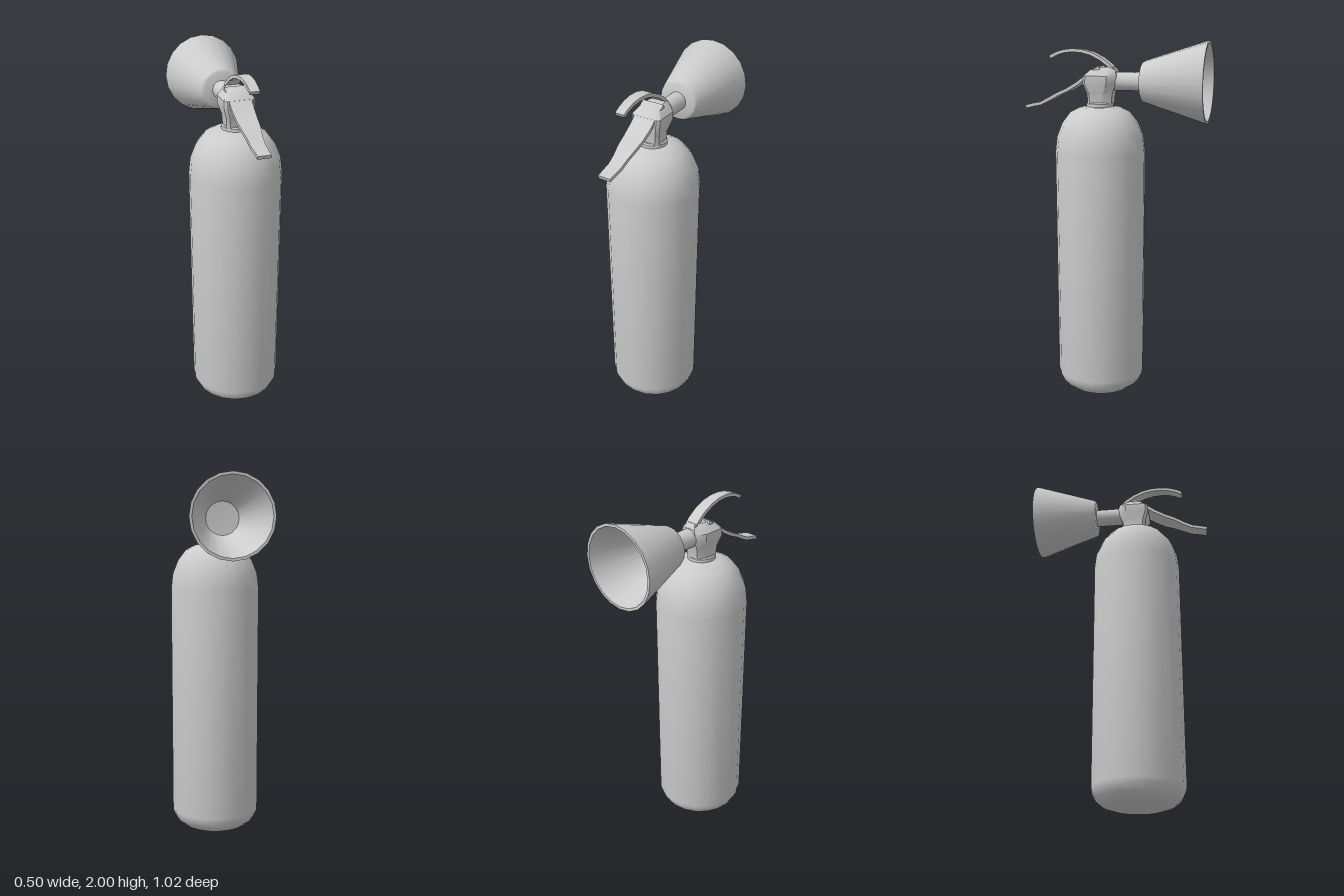
import * as THREE from 'three';
import { toCreasedNormals } from 'three/addons/utils/BufferGeometryUtils.js';

const AXIS_Z = 0.085; // tank axis
const PIPE_Y = 1.785; // discharge axis

// Capped skin over rings of [x, y, z], each counter-clockwise about the travel direction
function loft(rings) {
  const n = rings[0].length, last = (rings.length - 1) * n, index = [];
  for (let i = 0; i < rings.length - 1; i++) {
    for (let j = 0; j < n; j++) {
      const a = i * n + j, b = i * n + (j + 1) % n;
      index.push(a, b, b + n, a, b + n, a + n);
    }
  }
  for (let j = 1; j < n - 1; j++) {
    index.push(0, j + 1, j, last, last + j, last + j + 1);
  }
  const geo = new THREE.BufferGeometry();
  geo.setAttribute('position', new THREE.Float32BufferAttribute(rings.flat(2), 3));
  geo.setIndex(index);
  return geo;
}

// Bent metal strip; stations are [z, y, half width]
function strip(stations, thickness) {
  const h = thickness / 2;
  return loft(stations.map(([z, y, w], i) => {
    const p = stations[Math.max(i - 1, 0)], q = stations[Math.min(i + 1, stations.length - 1)];
    const len = Math.hypot(q[0] - p[0], q[1] - p[1]);
    const ny = (q[0] - p[0]) / len * h, nz = -(q[1] - p[1]) / len * h;
    return [[w, y + ny, z + nz], [-w, y + ny, z + nz], [-w, y - ny, z - nz], [w, y - ny, z - nz]];
  }));
}

function lathe(points, segments = 20) {
  return new THREE.LatheGeometry(points.map(([r, y]) => new THREE.Vector2(r, y)), segments);
}

export function createModel() {
  const model = new THREE.Group();
  const material = new THREE.MeshStandardMaterial({ color: 0xcccccc });
  const add = (name, geo, crease = 0.6) => {
    const mesh = new THREE.Mesh(toCreasedNormals(geo, crease), material);
    mesh.name = name;
    model.add(mesh);
    return mesh;
  };

  // Tank with rounded base and shoulder
  add('tank', lathe([
    [0, 0], [0.14, 0.003], [0.19, 0.018], [0.228, 0.05], [0.247, 0.09], [0.25, 0.11],
    [0.25, 1.4], [0.24, 1.485], [0.21, 1.56], [0.165, 1.618], [0.11, 1.645], [0, 1.655],
  ]), 0.8).position.z = AXIS_Z;

  // Neck collar
  add('neckCollar', lathe([
    [0, 1.63], [0.075, 1.63], [0.075, 1.665], [0.068, 1.672], [0, 1.672],
  ])).position.z = AXIS_Z;

  // Valve body: chamfered sections [y, half width, back z, front z]
  add('valveBody', loft([
    [1.66, 0.062, 0.014, 0.142],
    [1.72, 0.066, 0.008, 0.146],
    [1.775, 0.083, -0.016, 0.165],
    [1.815, 0.083, -0.018, 0.16],
    [1.845, 0.062, -0.01, 0.13],
    [1.862, 0.045, 0.005, 0.1],
  ].map(([y, w, zb, zf]) => {
    const right = [[w - 0.015, zf], [w, zf - 0.015], [w, zb + 0.045], [w * 0.55, zb]];
    const left = right.map(([x, z]) => [-x, z]).reverse();
    return [...right, ...left].map(([x, z]) => [x, y, z]);
  })));

  // Fixed carrying handle, arched over the valve
  add('carryHandle', strip([
    [-0.008, 1.832, 0.035], [0.03, 1.872, 0.035], [0.075, 1.905, 0.034], [0.13, 1.932, 0.033],
    [0.185, 1.946, 0.031], [0.24, 1.949, 0.029], [0.29, 1.943, 0.027], [0.33, 1.93, 0.026],
    [0.366, 1.912, 0.025],
  ], 0.018));

  // Squeeze lever, sloping down to the front
  add('squeezeLever', strip([
    [0.075, 1.86, 0.06], [0.13, 1.826, 0.06], [0.2, 1.773, 0.059], [0.26, 1.738, 0.056],
    [0.32, 1.712, 0.05], [0.37, 1.685, 0.041], [0.42, 1.66, 0.038], [0.47, 1.65, 0.036],
    [0.509, 1.64, 0.035],
  ], 0.018));

  // Discharge pipe
  const pipe = new THREE.CylinderGeometry(0.05, 0.05, 0.18, 20);
  pipe.rotateX(-Math.PI / 2);
  add('dischargePipe', pipe).position.set(0, PIPE_Y, -0.08);

  // Hollow horn, opening to the back
  const horn = lathe([
    [0, 0.152], [0.097, 0.152], [0.106, 0.157], [0.112, 0.168], [0.217, 0.504], [0.217, 0.51],
    [0.203, 0.51], [0.09, 0.18], [0, 0.175],
  ]);
  horn.rotateX(-Math.PI / 2);
  add('horn', horn).position.y = PIPE_Y;

  return model;
}
